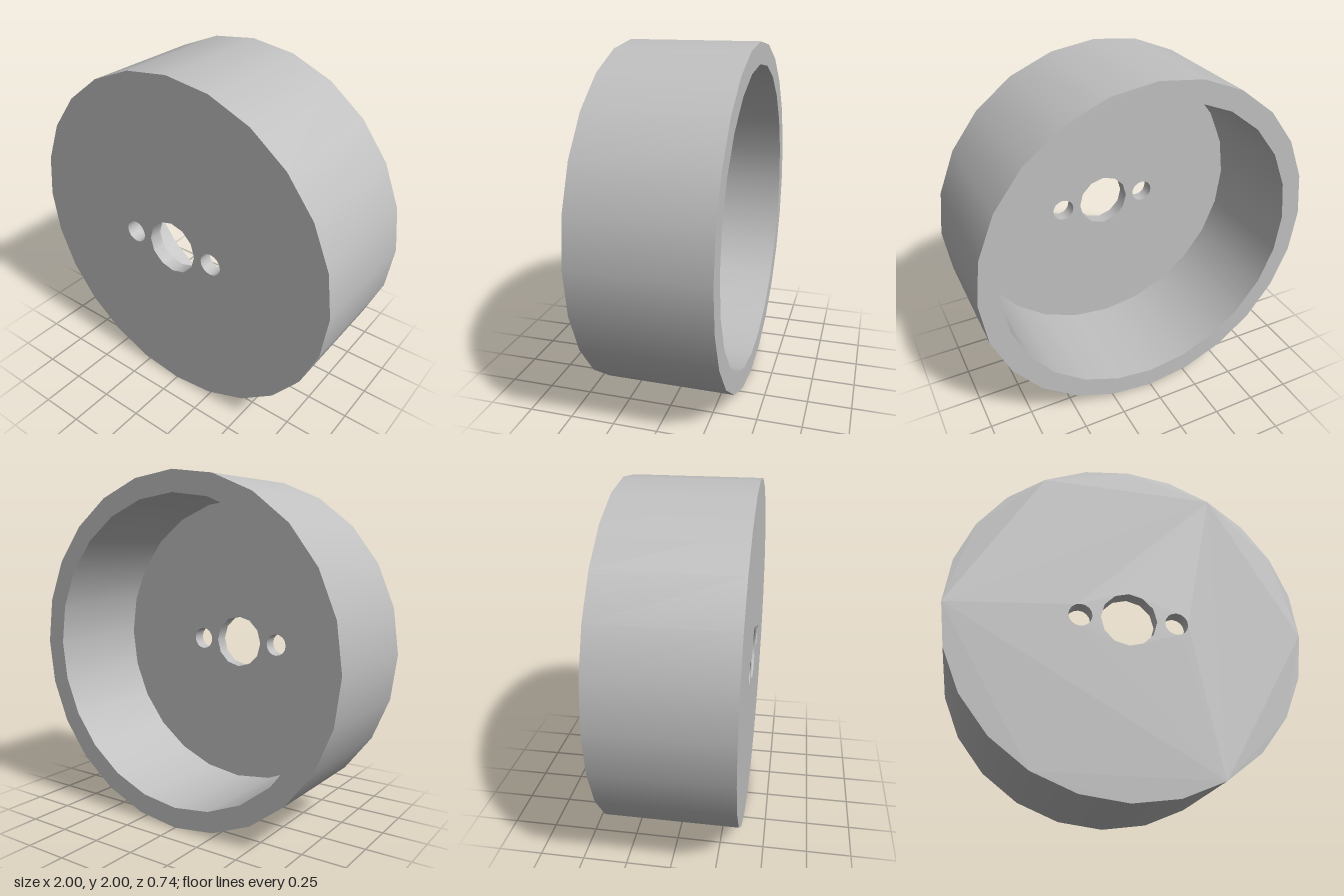
import * as THREE from 'three';

const CENTER_Y = 1, FRONT = 0.37, BACK = -0.37, FLOOR = 0.29;
const OUTER = { r: 1, n: 24 }, INNER = { r: 0.88, n: 24 };
const HOLES = [
  { name: 'axleHole', x: 0, r: 0.158, n: 12 },
  { name: 'leftBoltHole', x: 0.27, r: 0.066, n: 16 },
  { name: 'rightBoltHole', x: -0.27, r: 0.066, n: 16 },
];

// Corners of a regular polygon
function ringPoints({ x = 0, r, n }) {
  return Array.from({ length: n }, (_, i) => {
    const a = (i / n) * Math.PI * 2;
    return new THREE.Vector2(x + r * Math.cos(a), r * Math.sin(a));
  });
}

// Flat polygon with holes, facing +z or -z
function face(outline, holes, z, back) {
  const shape = new THREE.Shape(ringPoints(outline));
  shape.holes = holes.map((h) => new THREE.Path(ringPoints(h)));
  const g = new THREE.ShapeGeometry(shape);
  if (back) g.rotateY(Math.PI);
  return g.translate(0, 0, z);
}

// Smooth open wall along z: faces outward if z0 < z1, inward otherwise
function wall({ x = 0, r, n }, z0, z1) {
  const profile = [new THREE.Vector2(r, z0), new THREE.Vector2(r, z1)];
  return new THREE.LatheGeometry(profile, n).rotateX(Math.PI / 2).translate(x, 0, 0);
}

export function createModel() {
  const metal = new THREE.MeshStandardMaterial({ color: 0xc0c0c0 });
  metal.name = 'light grey';

  const model = new THREE.Group();
  model.name = 'wheelCup';
  const add = (name, geometry) => {
    const mesh = new THREE.Mesh(geometry, metal);
    mesh.name = name;
    mesh.position.y = CENTER_Y;
    model.add(mesh);
  };

  // Drum walls and open back rim
  add('outerWall', wall(OUTER, BACK, FRONT));
  add('innerWall', wall(INNER, FLOOR, BACK));
  add('backRim', face(OUTER, [INNER], BACK, true));

  // Front plate, its inside face and the holes through it
  add('frontFace', face(OUTER, HOLES, FRONT, false));
  add('innerFloor', face(INNER, HOLES, FLOOR, true));
  for (const hole of HOLES) add(hole.name, wall(hole, FRONT, FLOOR));

  return model;
}
